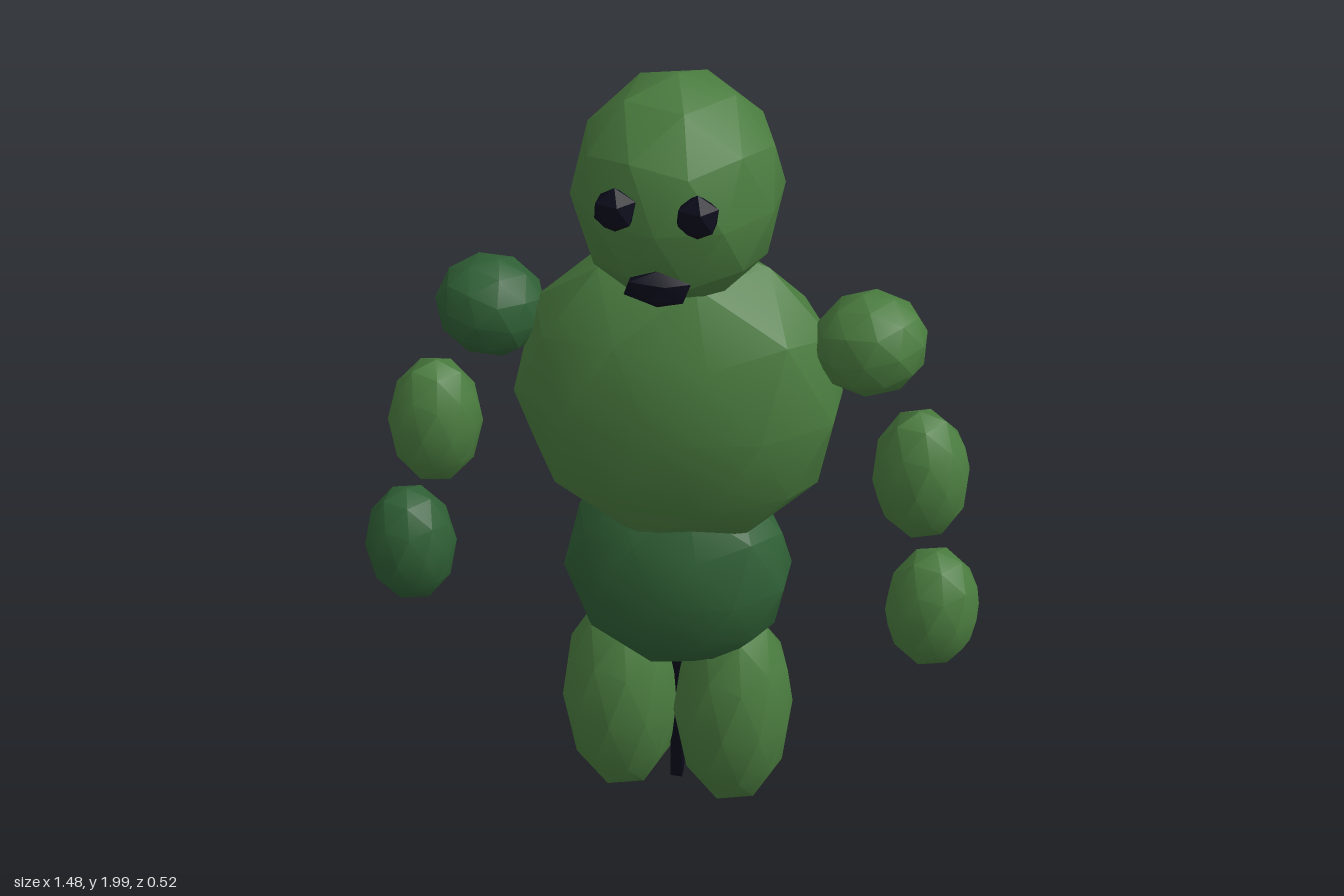
import * as THREE from 'three';
import { toCreasedNormals } from 'three/addons/utils/BufferGeometryUtils.js';

const lightGreen = new THREE.MeshStandardMaterial({ color: 0x4a7c3f });
lightGreen.name = 'lightGreen';
const darkGreen = new THREE.MeshStandardMaterial({ color: 0x2f5f35 });
darkGreen.name = 'darkGreen';
const nearBlack = new THREE.MeshStandardMaterial({ color: 0x0a0a1a });
nearBlack.name = 'nearBlack';

// Low-poly ball with a vertex at each pole, stretched to the given radii
function blob(name, material, [rx, ry, rz], [x, y, z], tilt = 0, detail = 1) {
  const raw = new THREE.IcosahedronGeometry(1, detail);
  raw.rotateZ(-Math.atan(2 / (1 + Math.sqrt(5))));
  raw.scale(rx, ry, rz);
  const geometry = toCreasedNormals(raw, THREE.MathUtils.degToRad(32));
  const mesh = new THREE.Mesh(geometry, material);
  mesh.name = name;
  mesh.position.set(x, y, z);
  mesh.rotation.z = tilt;
  return mesh;
}

export function createModel() {
  const model = new THREE.Group();
  model.name = 'blobFigure';

  // Head and trunk
  model.add(
    blob('head', lightGreen, [0.236, 0.265, 0.252], [0, 1.735, -0.01]),
    blob('chest', lightGreen, [0.393, 0.4, 0.25], [0, 1.22, -0.01]),
    blob('belly', darkGreen, [0.286, 0.28, 0.202], [0, 0.73, -0.006])
  );

  // Eyes, legs and arms; the right shoulder and hand are darker
  for (const [side, s] of [['left', 1], ['right', -1]]) {
    const accent = s < 0 ? darkGreen : lightGreen;
    model.add(
      blob(side + 'Eye', nearBlack, [0.05, 0.05, 0.046], [s * 0.088, 1.78, 0.217], 0, 0),
      blob(side + 'Leg', lightGreen, [0.153, 0.302, 0.155], [s * 0.145, 0.31, 0]),
      blob(side + 'Shoulder', accent, [0.13, 0.121, 0.12], [s * 0.44, 1.4, -0.005], s * 0.2),
      blob(side + 'Forearm', lightGreen, [0.113, 0.166, 0.108], [s * 0.577, 1.103, 0.048], s * 0.08),
      blob(side + 'Hand', accent, [0.111, 0.156, 0.108], [s * 0.632, 0.8, 0.137])
    );
  }

  // Mouth
  model.add(blob('mouth', nearBlack, [0.082, 0.043, 0.03], [0, 1.6, 0.212], 0, 0));

  // Thin post between the legs
  const post = new THREE.Mesh(new THREE.BoxGeometry(0.03, 0.4, 0.03), nearBlack);
  post.name = 'post';
  post.position.set(0, 0.255, 0);
  model.add(post);

  return model;
}
